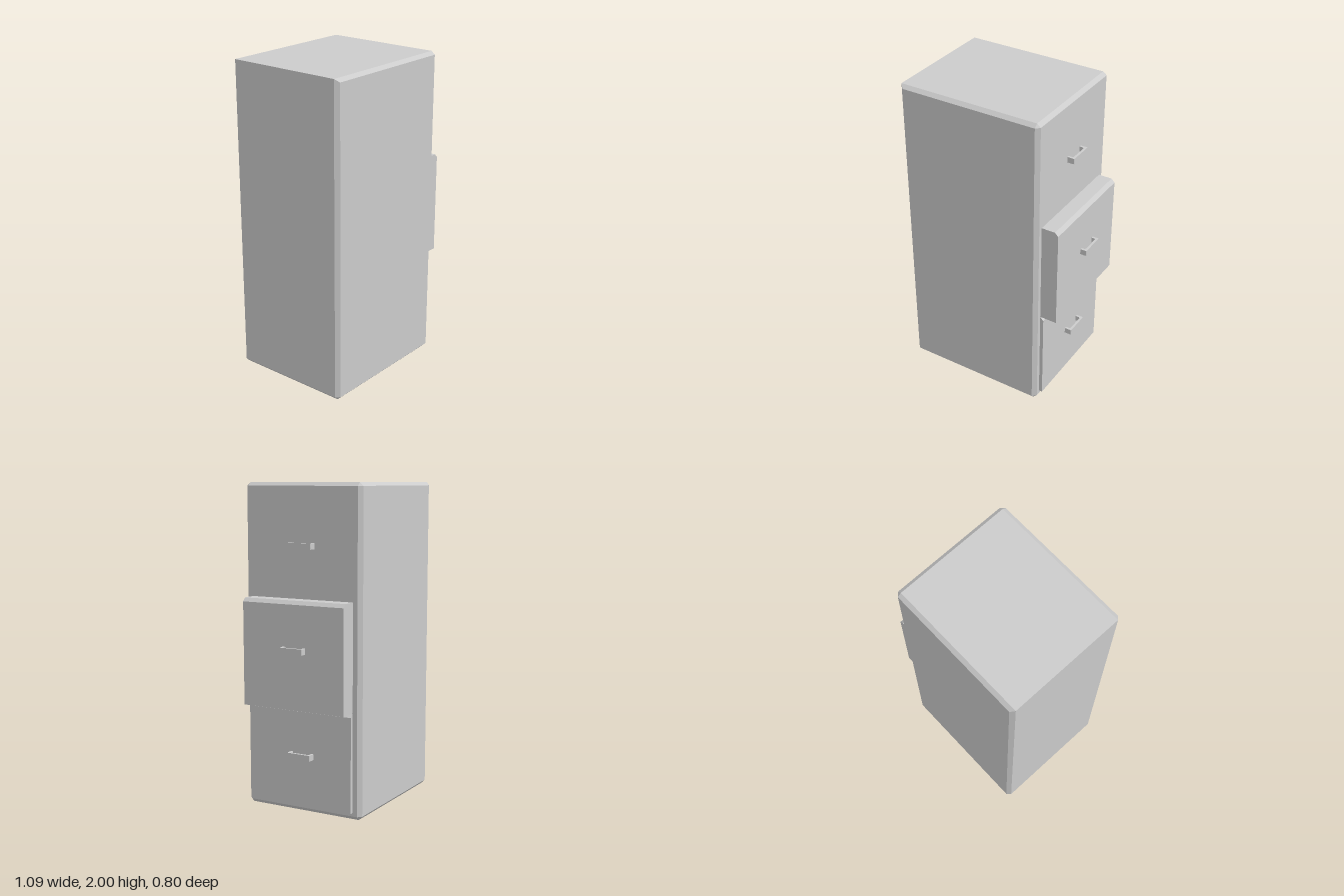
import * as THREE from 'three';
import { ConvexGeometry } from 'three/addons/geometries/ConvexGeometry.js';

const material = new THREE.MeshStandardMaterial({ color: 0xcccccc, flatShading: true });

function addMesh(parent, geometry, name) {
  const mesh = new THREE.Mesh(geometry, material);
  mesh.name = name;
  parent.add(mesh);
  return mesh;
}

// Shape from a list of [u, v] corners
const polygon = (pts) => new THREE.Shape(pts.map(([u, v]) => new THREE.Vector2(u, v)));

// Cabinet body: all edges chamfered except the top edge of the -x face
function bodyGeometry() {
  const x0 = -0.545, x1 = 0.39, z = 0.4, c = 0.024, top = 2;
  const points = [];
  for (const s of [-1, 1]) {
    for (const y of [c, top - c * 0.85]) {
      for (const [px, pz] of [[x0, z - c], [x0 + c, z], [x1 - c, z], [x1, z - c]]) {
        points.push(new THREE.Vector3(px, y, s * pz));
      }
    }
    for (const [px, y] of [[x0 + c, 0], [x1 - c, 0], [x0, top], [x1 - c, top]]) {
      points.push(new THREE.Vector3(px, y, s * (z - c)));
    }
  }
  return new ConvexGeometry(points);
}

// Drawer: side profile with a chamfered top front edge, extruded across z
function drawerGeometry(front, bottom, top) {
  const c = 0.022, back = 0.35, width = 0.695;
  const profile = polygon([
    [back, bottom], [front, bottom], [front, top - c], [front - c, top], [back, top],
  ]);
  return new THREE.ExtrudeGeometry(profile, { depth: width, bevelEnabled: false })
    .translate(0, 0, -0.346);
}

// Handle: U-shaped bar lying flat, with clipped inner corners
function handleGeometry(reach) {
  const h = 0.079, t = 0.015, c = 0.007, i = h - t;
  const profile = polygon([
    [-0.005, -h], [reach - 0.003, -h], [reach, -h + 0.003], [reach, h - 0.003], [reach - 0.003, h], [-0.005, h],
    [-0.005, i], [reach - t - c, i], [reach - t, i - c],
    [reach - t, -i + c], [reach - t - c, -i], [-0.005, -i],
  ]);
  return new THREE.ExtrudeGeometry(profile, { depth: 0.036, bevelEnabled: false })
    .rotateX(-Math.PI / 2)
    .translate(0, -0.018, 0);
}

export function createModel() {
  const model = new THREE.Group();
  model.name = 'filingCabinet';

  addMesh(model, bodyGeometry(), 'body');
  addMesh(model, drawerGeometry(0.5, 0.655, 1.312), 'middleDrawer');
  addMesh(model, drawerGeometry(0.412, 0.045, 0.653), 'bottomDrawer');

  // One handle per drawer; the top drawer is closed flush with the body
  const handles = [
    ['topHandle', 0.39, 1.629, 0.046],
    ['middleHandle', 0.5, 1.018, 0.041],
    ['bottomHandle', 0.412, 0.36, 0.046],
  ];
  for (const [name, x, y, reach] of handles) {
    addMesh(model, handleGeometry(reach), name).position.set(x, y, -0.009);
  }
  return model;
}
